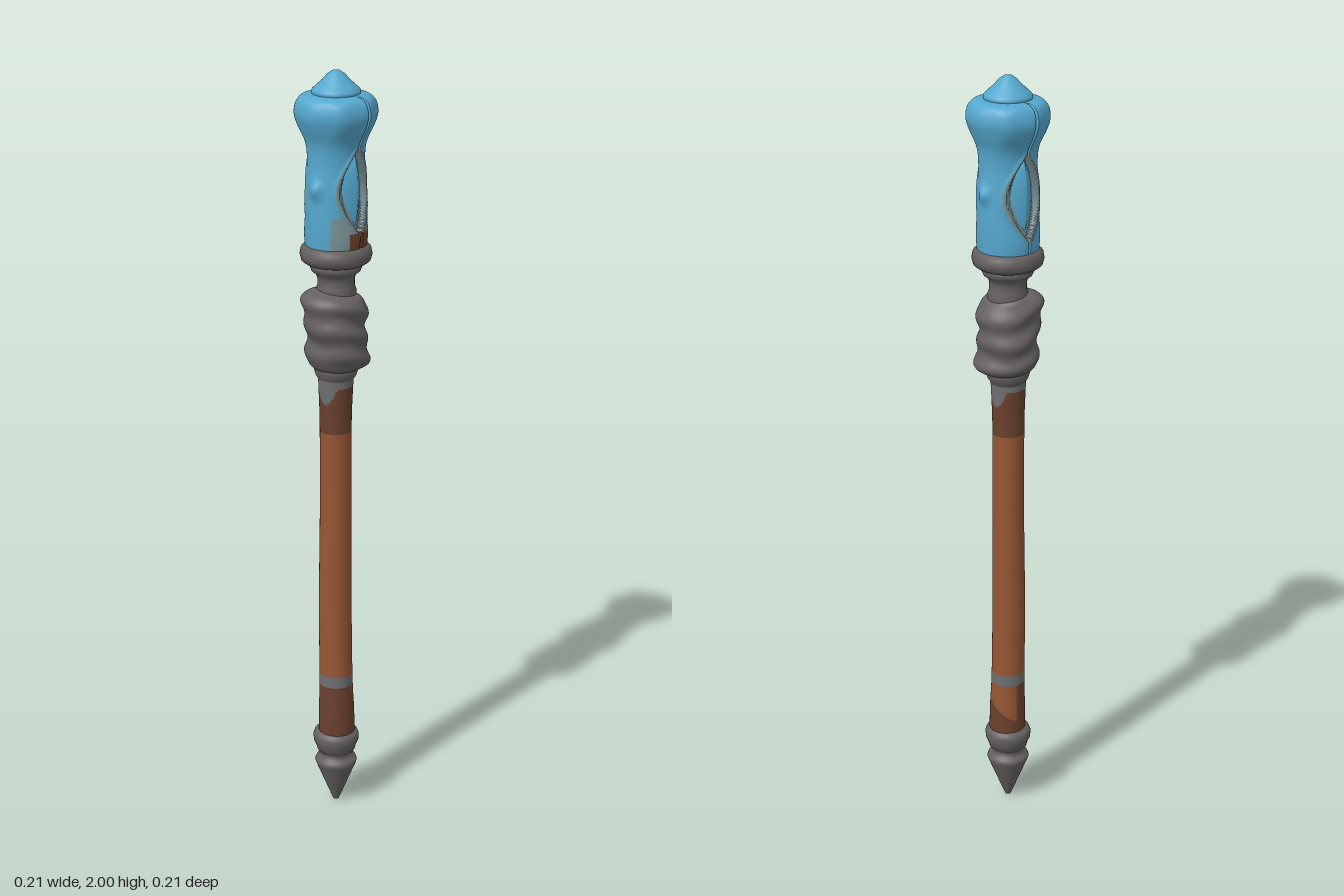
import * as THREE from 'three';
import { mergeVertices } from 'three/addons/utils/BufferGeometryUtils.js';

const mat = (name, color) => {
  const m = new THREE.MeshStandardMaterial({ color });
  m.name = name;
  return m;
};

const GEM_Y = 1.705, GEM_H = 0.108, GEM_W = 0.05;
const smooth = THREE.MathUtils.smoothstep;

// Half-width of the pointed gem opening at height y, less |x|: positive inside.
function insideGem(x, y, grow = 0) {
  const v = THREE.MathUtils.clamp((y - GEM_Y) / (GEM_H + grow), -1, 1);
  return (GEM_W + grow) * Math.cos(v * Math.PI / 2) - Math.abs(x);
}

// Turned surface from [radius, y] pairs, listed bottom to top.
function turned(points, segments = 40) {
  return new THREE.LatheGeometry(points.map(([r, y]) => new THREE.Vector2(r, y)), segments);
}

// The same, resampled along a smooth curve.
function curved(points, rows, segments) {
  const curve = new THREE.SplineCurve(points.map(([r, y]) => new THREE.Vector2(r, y)));
  return new THREE.LatheGeometry(curve.getSpacedPoints(rows), segments);
}

// Move every vertex by a rule, then rebuild seamless smooth normals.
function shape(geo, rule) {
  geo.deleteAttribute('uv');
  geo.deleteAttribute('normal');
  const p = geo.attributes.position, v = new THREE.Vector3();
  for (let i = 0; i < p.count; i++) {
    rule(v.fromBufferAttribute(p, i));
    p.setXYZ(i, v.x, v.y, v.z);
  }
  const out = mergeVertices(geo, 1e-5);
  out.computeVertexNormals();
  return out;
}

// Sort faces into material groups by the position of their centres.
function paint(geo, count, pick) {
  const p = geo.attributes.position, idx = geo.index.array;
  const lists = Array.from({ length: count }, () => []);
  const c = new THREE.Vector3(), v = new THREE.Vector3();
  for (let i = 0; i < idx.length; i += 3) {
    c.set(0, 0, 0);
    for (let k = 0; k < 3; k++) c.add(v.fromBufferAttribute(p, idx[i + k]));
    lists[pick(c.divideScalar(3))].push(idx[i], idx[i + 1], idx[i + 2]);
  }
  geo.setIndex(lists.flat());
  let start = 0;
  lists.forEach((list, m) => {
    geo.addGroup(start, list.length, m);
    start += list.length;
  });
  return geo;
}

export function createModel() {
  const model = new THREE.Group();
  model.name = 'staff';
  const blue = mat('crystalBlue', 0x55a8cf);
  const frost = mat('frostedGrey', 0x7b9499);
  const iron = mat('darkIron', 0x656160);
  const wood = mat('wood', 0x965634);
  const darkWood = mat('darkWood', 0x6a402e);
  const steel = mat('bandGrey', 0x6e6f70);

  const add = (name, geo, material) => {
    const mesh = new THREE.Mesh(geo, material);
    mesh.name = name;
    model.add(mesh);
    return mesh;
  };

  // Pointed foot and the ring above it
  add('footSpike', turned([
    [0, 0], [0.008, 0.004], [0.053, 0.115], [0.056, 0.124], [0.053, 0.132],
    [0.042, 0.137], [0.041, 0.15], [0.05, 0.158],
  ]), iron);
  add('footRing', turned([
    [0.04, 0.153], [0.05, 0.158], [0.054, 0.172], [0.06, 0.185], [0.061, 0.2],
    [0.057, 0.211], [0.045, 0.216],
  ]), iron);

  // Shaft: wood, worn dark ends, a metal band and a metal edge dipping at the sides
  const shaft = curved([
    [0.048, 0.2], [0.047, 0.28], [0.044, 0.37], [0.043, 0.6], [0.041, 0.85],
    [0.041, 1.08], [0.043, 1.16], [0.046, 1.23],
  ], 200, 48);
  shape(shaft, v => {
    v.x += 0.0012 * Math.sin(v.y * 9);
    v.z += 0.0025 * Math.cos(v.y * 4);
  });
  add('shaft', paint(shaft, 3, c => {
    const a = Math.atan2(c.x, c.z);
    if (c.y > 1.195 - 0.045 * Math.max(0, Math.cos(2 * a + Math.PI))) return 2;
    if (c.y > 0.353 && c.y < 0.387) return 2;
    if (c.y > 1.07) return 1;
    if (c.y > 0.353) return 0;
    const chip = Math.sin(a) > 0.2 && c.y > 0.29 + 0.04 * Math.cos(a);
    return chip ? 0 : 1;
  }), [wood, darkWood, steel]);

  // Collar below the wrapping
  add('lowerCollar', turned([
    [0.042, 1.205], [0.047, 1.215], [0.052, 1.222], [0.056, 1.235], [0.055, 1.25], [0.05, 1.26],
  ]), iron);

  // Bulging grip wrapped in folds
  const wrap = curved([
    [0.045, 1.235], [0.066, 1.245], [0.077, 1.262], [0.078, 1.3], [0.079, 1.34],
    [0.08, 1.39], [0.078, 1.42], [0.066, 1.437], [0.042, 1.445],
  ], 60, 64);
  add('wrappedGrip', shape(wrap, v => {
    const a = Math.atan2(v.x, v.z);
    const fold = 0.004 * Math.sin(v.y * 95 + 1.6 * Math.sin(a) + 0.5 * Math.sin(3 * a))
      + 0.003 * Math.sin(2 * a + v.y * 40);
    const k = 1 + fold / 0.078;
    const lean = (1.33 - v.y) * 0.09 - 0.002;
    v.set(v.x * k + lean, v.y + 0.006 * Math.sin(a + 4) * smooth(v.y, 1.3, 1.4), v.z * k + 0.002);
  }), iron);

  // Neck and the socket ring that carries the head
  add('neck', turned([
    [0.05, 1.425], [0.052, 1.445], [0.047, 1.458], [0.047, 1.475], [0.05, 1.488],
    [0.062, 1.497], [0.066, 1.508], [0.062, 1.52],
  ]), iron);
  add('socketRing', turned([
    [0.05, 1.515], [0.076, 1.517], [0.087, 1.525], [0.091, 1.54], [0.088, 1.556],
    [0.079, 1.565], [0.06, 1.567],
  ]), iron);

  // Head: flattened waist, almond recesses front and back, a knob at each side
  const head = curved([
    [0.077, 1.555], [0.08, 1.6], [0.081, 1.65], [0.079, 1.72], [0.076, 1.78],
    [0.08, 1.825], [0.094, 1.865], [0.102, 1.895], [0.098, 1.922], [0.084, 1.938], [0.055, 1.944],
  ], 130, 144);
  shape(head, v => {
    const a = Math.atan2(v.x, v.z);
    const waist = smooth(v.y, 1.58, 1.66) * (1 - smooth(v.y, 1.8, 1.88));
    const inside = insideGem(v.x, v.y);
    const lip = 0.003 * Math.exp(-(((inside + 0.009) / 0.006) ** 2)) * waist;
    const recess = 0.018 * smooth(inside, -0.004, 0.003);
    const lumps = 0.0015 * Math.cos(8 * a) * smooth(v.y, 1.83, 1.88) * (1 - smooth(v.y, 1.92, 1.94));
    const knob = Math.abs(v.x) < 0.06 ? 0
      : 0.012 * Math.exp(-(((v.y - 1.715) / 0.022) ** 2) - (v.z / 0.018) ** 2);
    const k = 1 + (lip - recess + lumps + knob) / Math.hypot(v.x, v.z);
    v.x *= k;
    v.z *= k * (1 - 0.1 * waist);
  });
  add('head', paint(head, 3, c => {
    if (c.z > 0 && c.y < 1.605 && Math.abs(c.x) < 0.035) return 2;
    if (insideGem(c.x, c.y, 0.013) > 0) return 1;
    const foot = c.y < 1.65 - 0.3 * Math.abs(Math.abs(c.x) - 0.05);
    return c.z > 0 && foot && Math.abs(c.x) < 0.07 ? 1 : 0;
  }), [blue, frost, darkWood]);

  // Ridged gems set in both recesses
  for (const [name, turn] of [['frontGem', 0], ['backGem', Math.PI]]) {
    const gem = shape(new THREE.PlaneGeometry(2, 2, 24, 32), p => {
      const u = p.x, v = p.y;
      const x = u * GEM_W * 0.93 * Math.cos(v * Math.PI / 2);
      const base = Math.sqrt(0.07 ** 2 - x * x) - 0.02;
      p.set(x, GEM_Y + v * GEM_H * 0.95,
        base + 0.019 * (1 - Math.abs(u)) * Math.sqrt(Math.max(0, 1 - v * v)));
    });
    add(name, gem, blue).rotation.y = turn;
  }

  // Pointed cap on top
  add('cap', turned([
    [0.057, 1.938], [0.061, 1.945], [0.06, 1.952], [0.05, 1.962], [0.036, 1.974],
    [0.022, 1.99], [0.01, 1.998], [0, 2],
  ]), blue);

  return model;
}
